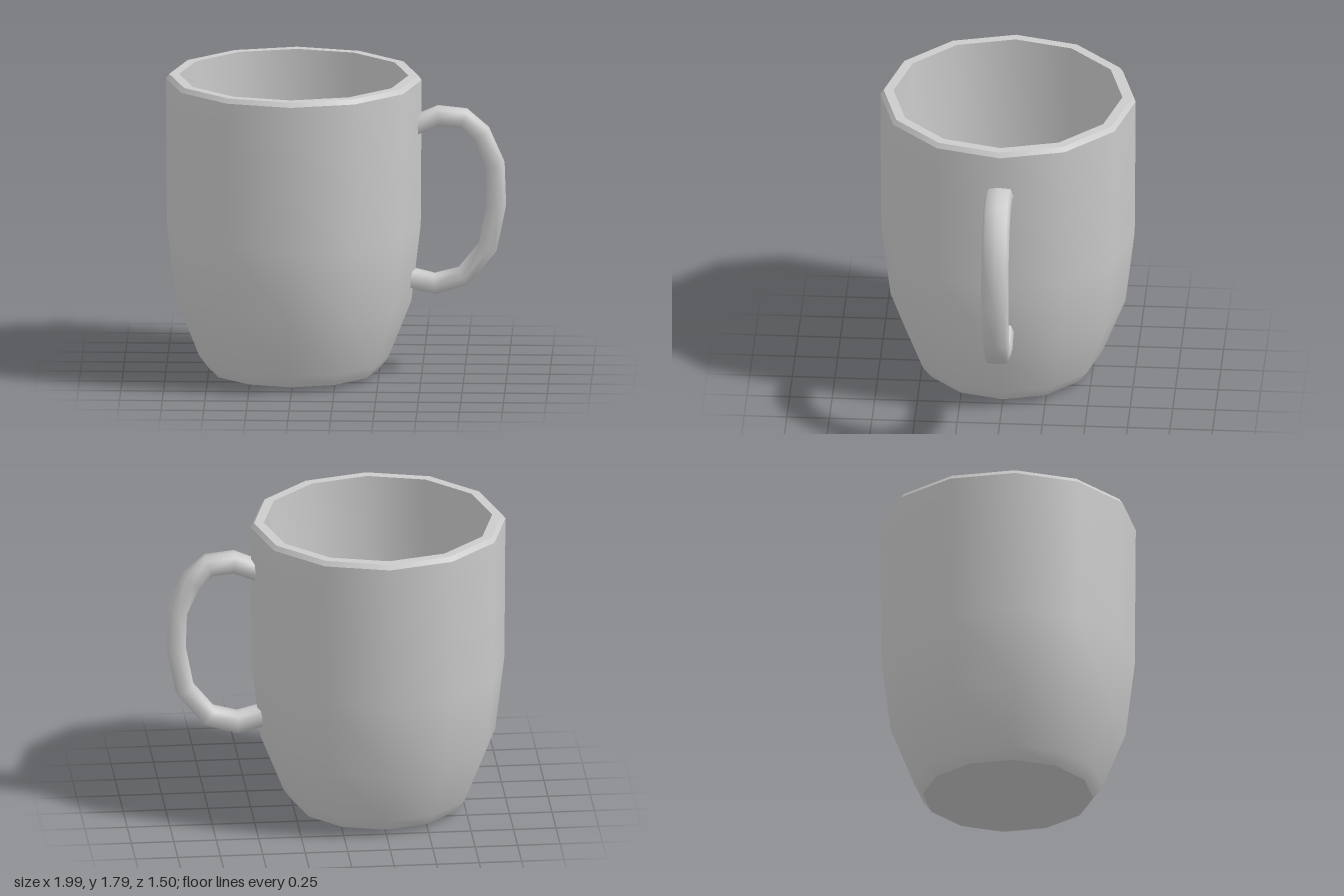
import * as THREE from 'three';

const material = new THREE.MeshStandardMaterial({ color: 0xcccccc, side: THREE.DoubleSide });
const SIDES = 12;

// One smooth-shaded band of the cup; separate bands keep the edges between them sharp
function band(name, profile) {
  const points = profile.map(([r, y]) => new THREE.Vector2(r, y));
  const mesh = new THREE.Mesh(new THREE.LatheGeometry(points, SIDES), material);
  mesh.name = name;
  return mesh;
}

// Sweeps a flat-sided oval along a path lying in the xy plane
function sweepHandle(path, section) {
  const n = section.length;
  const positions = [];
  const indices = [];
  path.forEach(([x, y], i) => {
    const a = path[Math.max(i - 1, 0)];
    const b = path[Math.min(i + 1, path.length - 1)];
    const dir = new THREE.Vector2(b[0] - a[0], b[1] - a[1]).normalize();
    // Ends are cut upright where they meet the cup wall
    const end = i === 0 || i === path.length - 1;
    const out = end ? [0, i === 0 ? 1 : -1] : [-dir.y, dir.x];
    for (const [u, w] of section) positions.push(x + out[0] * u, y + out[1] * u, w);
  });
  for (let i = 0; i < path.length - 1; i++) {
    for (let j = 0; j < n; j++) {
      const k = (j + 1) % n;
      const a = i * n + j, b = i * n + k, c = a + n, d = b + n;
      indices.push(a, c, b, b, c, d);
    }
  }
  const geometry = new THREE.BufferGeometry();
  geometry.setAttribute('position', new THREE.Float32BufferAttribute(positions, 3));
  geometry.setIndex(indices);
  geometry.computeVertexNormals();
  return geometry;
}

export function createModel() {
  const model = new THREE.Group();
  model.name = 'mug';

  // Twelve-sided cup, bands running from the underside over the rim to the floor
  const cup = new THREE.Group();
  cup.name = 'cup';
  cup.position.x = -0.25;
  cup.add(
    band('base', [[0, 0.005], [0.5, 0.032]]),
    band('outerWall', [[0.5, 0.032], [0.555, 0.105], [0.69, 0.445], [0.744, 0.9], [0.75, 1.77]]),
    band('rimBevel', [[0.75, 1.77], [0.73, 1.797]]),
    band('rim', [[0.73, 1.797], [0.672, 1.797]]),
    band('innerWall', [[0.672, 1.797], [0.668, 0.9], [0.615, 0.46], [0.49, 0.15], [0.42, 0.1], [0, 0.08]])
  );
  model.add(cup);

  // Looped handle
  const path = [
    [0.475, 1.505], [0.6, 1.557], [0.745, 1.542], [0.85, 1.45], [0.93, 1.27],
    [0.938, 1.025], [0.888, 0.77], [0.745, 0.595], [0.578, 0.548], [0.437, 0.583]
  ];
  const section = [
    [0.057, 0], [0.05, 0.062], [0, 0.08], [-0.05, 0.062],
    [-0.057, 0], [-0.05, -0.062], [0, -0.08], [0.05, -0.062]
  ];
  const handle = new THREE.Mesh(sweepHandle(path, section), material);
  handle.name = 'handle';
  model.add(handle);

  return model;
}
